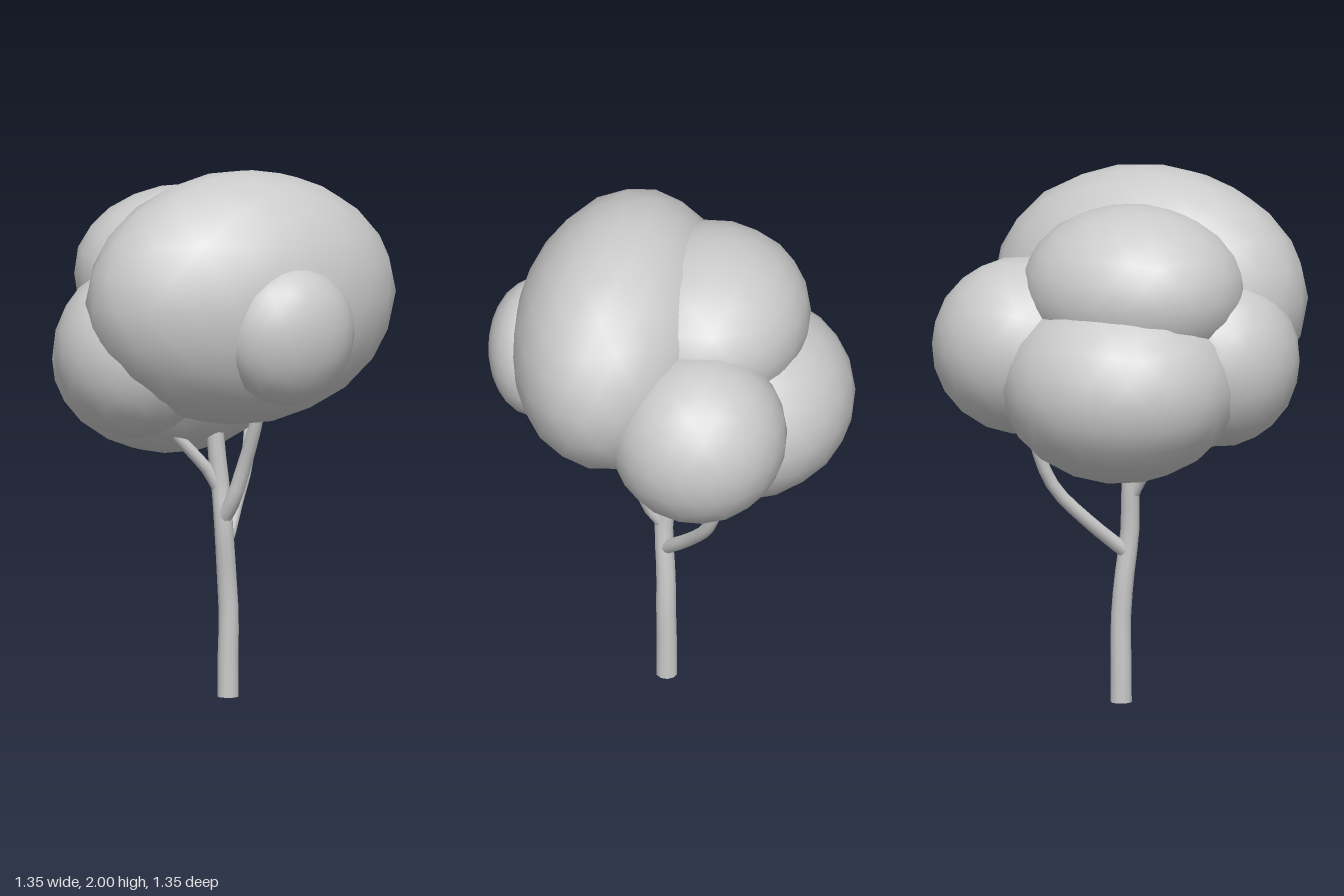
import * as THREE from 'three';

const material = new THREE.MeshStandardMaterial({ color: 0xcccccc });

// Foliage clumps: name, centre, radii, forward tilt
const CLUMPS = [
  ['mainFoliage', [-0.02, 1.525, 0.18], [0.615, 0.475, 0.395], 0],
  ['frontFoliage', [0.025, 1.42, 0.49], [0.255, 0.265, 0.18], 0.12],
  ['leftFoliage', [0.335, 1.36, -0.2], [0.335, 0.33, 0.33], 0],
  ['rightFoliage', [-0.375, 1.325, 0.01], [0.3, 0.325, 0.3], 0],
  ['lowerBackFoliage', [-0.09, 1.25, -0.26], [0.445, 0.36, 0.42], 0],
  ['upperBackFoliage', [-0.09, 1.59, -0.13], [0.425, 0.32, 0.38], 0],
];

// Limbs: name, start radius, end radius, centre line
const LIMBS = [
  ['trunk', 0.04, 0.032, [[0.02, 0, 0], [0.02, 0.15, 0], [0.022, 0.3, 0.002], [0.012, 0.45, 0.005],
    [-0.008, 0.65, 0.018], [-0.015, 0.8, 0.006], [-0.03, 0.95, 0], [-0.04, 1.15, 0]]],
  ['leftBranch', 0.027, 0.022, [[0.005, 0.57, 0.005], [0.04, 0.61, -0.03], [0.11, 0.7, -0.11],
    [0.2, 0.83, -0.2], [0.24, 0.96, -0.25], [0.26, 1.1, -0.28]]],
  ['frontBranch', 0.03, 0.023, [[-0.008, 0.68, 0.025], [0.005, 0.74, 0.065], [0.03, 0.87, 0.105],
    [0.048, 1.02, 0.16], [0.055, 1.15, 0.2]]],
  ['rightBranch', 0.024, 0.019, [[-0.012, 0.76, 0.01], [-0.06, 0.85, 0], [-0.14, 0.94, -0.01],
    [-0.22, 1.03, -0.02], [-0.28, 1.14, -0.02]]],
];

// Tapered tube with closed ends
function limb(name, r0, r1, path) {
  const group = new THREE.Group();
  group.name = name;
  const rings = (path.length - 1) * 2, sides = 10;
  const curve = new THREE.CatmullRomCurve3(path.map((p) => new THREE.Vector3(...p)));
  const geometry = new THREE.TubeGeometry(curve, rings, 1, sides, false);
  const position = geometry.attributes.position;
  const v = new THREE.Vector3();
  for (let i = 0; i < position.count; i++) {
    const t = Math.floor(i / (sides + 1)) / rings;
    const centre = curve.getPointAt(t);
    v.fromBufferAttribute(position, i).sub(centre)
      .multiplyScalar(THREE.MathUtils.lerp(r0, r1, t)).add(centre);
    position.setXYZ(i, v.x, v.y, v.z);
  }
  const tube = new THREE.Mesh(geometry, material);
  tube.name = name + 'Bark';
  group.add(tube);
  for (const [t, r, sign] of [[0, r0, -1], [1, r1, 1]]) {
    const cap = new THREE.Mesh(new THREE.CircleGeometry(r, sides), material);
    cap.name = name + 'End';
    cap.position.copy(curve.getPointAt(t));
    cap.quaternion.setFromUnitVectors(new THREE.Vector3(0, 0, 1), curve.getTangentAt(t).multiplyScalar(sign));
    group.add(cap);
  }
  return group;
}

export function createModel() {
  const tree = new THREE.Group();
  tree.name = 'tree';

  // Smooth icosphere with a vertex at each pole
  const ball = new THREE.IcosahedronGeometry(1, 3);
  ball.rotateX(-Math.atan((1 + Math.sqrt(5)) / 2));
  for (const [name, centre, radii, tilt] of CLUMPS) {
    const clump = new THREE.Mesh(ball, material);
    clump.name = name;
    clump.position.set(...centre);
    clump.scale.set(...radii);
    clump.rotation.x = tilt;
    tree.add(clump);
  }

  for (const spec of LIMBS) tree.add(limb(...spec));
  return tree;
}
